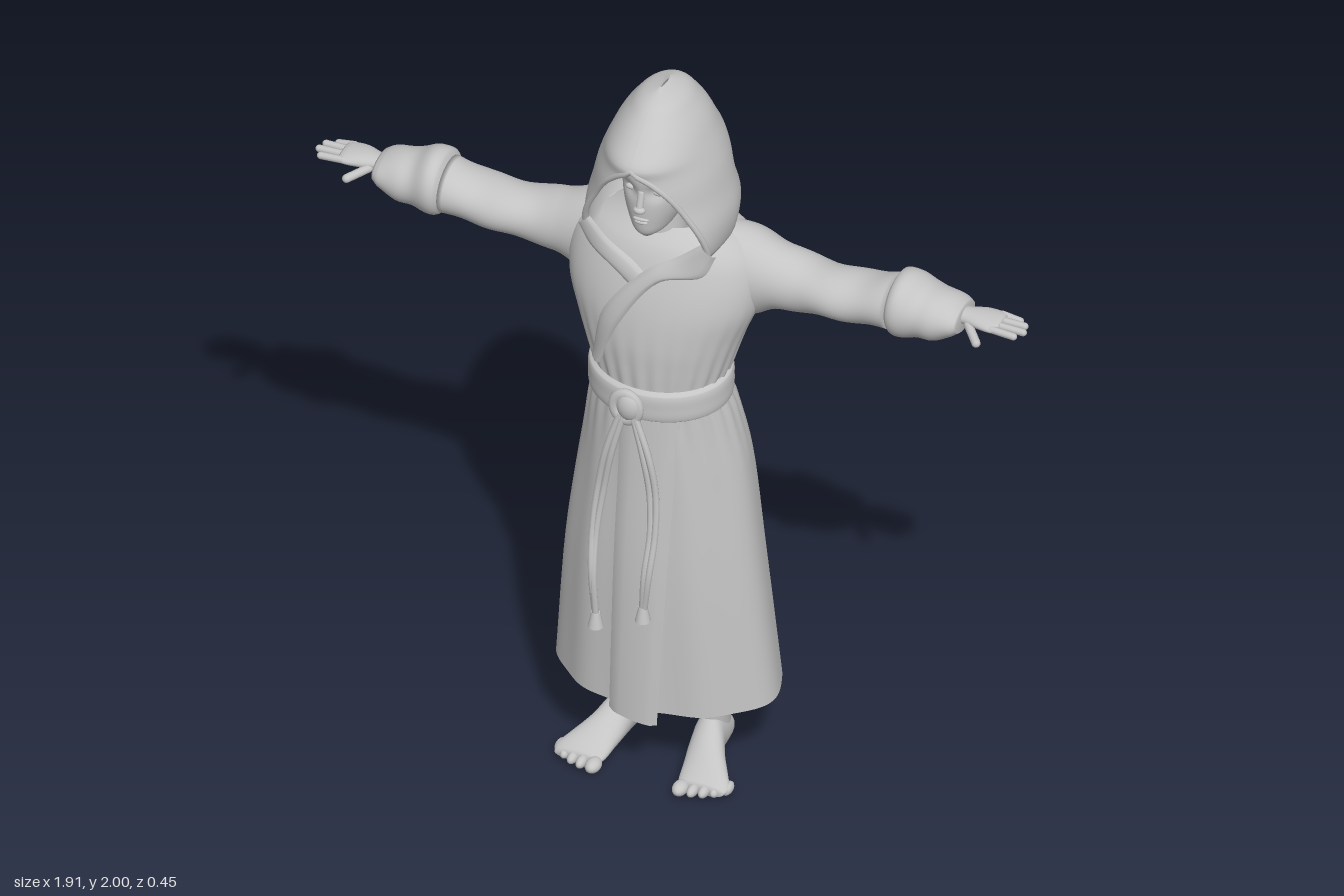
import * as THREE from 'three';

const V = (x, y, z) => new THREE.Vector3(x, y, z);
const TAU = Math.PI * 2;
const gauss = (d, w) => Math.exp(-(d * d) / (w * w));

// smooth interpolation of a table whose first column is the key
function at(rows, k) {
  let i = 0;
  while (i < rows.length - 2 && k > rows[i + 1][0]) i++;
  const p = rows[i], q = rows[i + 1], h = q[0] - p[0];
  const t = THREE.MathUtils.clamp((k - p[0]) / h, 0, 1), t2 = t * t, t3 = t2 * t;
  const slope = (j, c) => {
    const a = rows[Math.max(j - 1, 0)], b = rows[Math.min(j + 1, rows.length - 1)];
    return (b[c] - a[c]) / (b[0] - a[0]);
  };
  return p.map((_, c) => (2 * t3 - 3 * t2 + 1) * p[c] + (t3 - 2 * t2 + t) * h * slope(i, c)
    + (3 * t2 - 2 * t3) * q[c] + (t3 - t2) * h * slope(i + 1, c));
}

// surface from a grid of points; rings may be closed
function grid(rings, closed) {
  const n = rings[0].length, idx = [], m = closed ? n : n - 1;
  for (let i = 0; i < rings.length - 1; i++) for (let j = 0; j < m; j++) {
    const a = i * n + j, b = i * n + (j + 1) % n;
    idx.push(a, b, a + n, b, b + n, a + n);
  }
  const g = new THREE.BufferGeometry().setFromPoints(rings.flat());
  g.setIndex(idx);
  g.computeVertexNormals();
  return g;
}

function steps(rows, sub) {
  const ks = [rows[0][0]];
  for (let i = 1; i < rows.length; i++) for (let s = 1; s <= sub; s++)
    ks.push(THREE.MathUtils.lerp(rows[i - 1][0], rows[i][0], s / sub));
  return ks;
}

// rows [key, a0, a1, b0, b1] swept along an axis; a and b are the extents across it
const PLACE = { y: (a, b, k) => V(a, k, b), x: (a, b, k) => V(k, b, a), z: (a, b, k) => V(b, a, k) };
function loft(axis, rows, { n = 32, sub = 4, caps = true, fold = () => 1, move = p => p } = {}) {
  const rings = steps(rows, sub).map(k => {
    const [, a0, a1, b0, b1] = at(rows, k);
    return Array.from({ length: n }, (_, j) => {
      const t = j / n * TAU, f = fold(t, k);
      return move(PLACE[axis]((a0 + a1) / 2 + (a1 - a0) / 2 * f * Math.sin(t),
        (b0 + b1) / 2 + (b1 - b0) / 2 * f * Math.cos(t), k));
    });
  });
  if (caps) for (const end of [0, 1]) {
    const r = end ? rings[rings.length - 1] : rings[0];
    const c = r.reduce((s, p) => s.add(p), V(0, 0, 0)).divideScalar(n);
    const ring = r.map(() => c.clone());
    end ? rings.push(ring) : rings.unshift(ring);
  }
  return grid(rings, true);
}

const BODY = [
  [0.22, -0.28, 0.3, -0.23, 0.17], [0.6, -0.25, 0.26, -0.21, 0.17], [0.9, -0.21, 0.225, -0.19, 0.157],
  [1.06, -0.185, 0.195, -0.155, 0.152], [1.16, -0.165, 0.175, -0.12, 0.15], [1.22, -0.185, 0.19, -0.14, 0.152],
  [1.3, -0.215, 0.215, -0.165, 0.152], [1.4, -0.25, 0.25, -0.19, 0.138], [1.5, -0.245, 0.245, -0.195, 0.108],
  [1.56, -0.2, 0.2, -0.18, 0.08], [1.6, -0.11, 0.11, -0.13, 0.04]];
const frontZ = (x, y) => {
  const [, a0, a1, b0, b1] = at(BODY, y), u = (2 * x - a0 - a1) / (a1 - a0);
  return (b0 + b1) / 2 + (b1 - b0) / 2 * Math.sqrt(Math.max(0, 1 - u * u));
};

const SLEEVE = [
  [0.12, -0.16, 0.04, 1.35, 1.585], [0.22, -0.17, 0.02, 1.335, 1.57], [0.3, -0.162, 0.0, 1.37, 1.535],
  [0.4, -0.155, 0.005, 1.388, 1.518], [0.5, -0.15, 0.01, 1.4, 1.522], [0.6, -0.148, 0.012, 1.408, 1.548]];
const CUFF = [
  [0.595, -0.14, 0.005, 1.42, 1.54], [0.61, -0.153, 0.022, 1.4, 1.568], [0.64, -0.155, 0.025, 1.4, 1.57],
  [0.68, -0.15, 0.015, 1.405, 1.55], [0.72, -0.146, 0.012, 1.412, 1.54], [0.765, -0.135, 0.005, 1.435, 1.527],
  [0.785, -0.125, -0.01, 1.45, 1.515]];

// hood rows: height, half width, back z, rim z, half width of the opening
const HOOD = [
  [1.55, 0.155, -0.14, 0.07, 0.145], [1.59, 0.178, -0.165, 0.09, 0.165], [1.66, 0.186, -0.215, 0.115, 0.155],
  [1.735, 0.17, -0.188, 0.138, 0.118], [1.79, 0.157, -0.195, 0.16, 0.085], [1.83, 0.143, -0.195, 0.178, 0.045],
  [1.865, 0.128, -0.18, 0.192, 0.001], [1.91, 0.107, -0.155, 0.15, 0], [1.95, 0.08, -0.125, 0.105, 0],
  [1.98, 0.052, -0.095, 0.065, 0], [2, 0.006, -0.045, 0.01, 0]];
function hoodRing(k, n, shrink) {
  const [, rx, zb, zf, w0] = at(HOOD, k), w = Math.max(w0, 0), cz = -0.02;
  const t0 = Math.asin(Math.min(w / rx, 0.95)), rf = (zf - cz) / Math.cos(t0);
  return Array.from({ length: n }, (_, j) => {
    const t = t0 + (TAU - 2 * t0) * j / (n - 1), c = Math.cos(t), s = Math.sin(t);
    const f = shrink * (1 + 0.018 * Math.sin(k * 34 + 3 * c) * Math.max(0, -c));
    return V(rx * f * s, k - (1 - shrink) * 0.2, cz + (c > 0 ? rf : cz - zb) * f * c);
  });
}

export function createModel() {
  const mat = new THREE.MeshStandardMaterial({ color: 0xc4c4c4, side: THREE.DoubleSide });
  mat.name = 'plain grey';
  const model = new THREE.Group();
  const add = (name, geo, parent = model) => {
    const m = new THREE.Mesh(geo, mat);
    m.name = name;
    parent.add(m);
    return m;
  };
  const tube = (name, pts, r, parent) =>
    add(name, new THREE.TubeGeometry(new THREE.CatmullRomCurve3(pts), 40, r, 8), parent);
  const blob = (name, p, s, parent) => {
    const m = add(name, new THREE.SphereGeometry(1, 18, 12), parent);
    m.position.set(...p);
    m.scale.set(...s);
    return m;
  };
  const capsule = (name, a, b, r, parent) => {
    const d = b.clone().sub(a), m = add(name, new THREE.CapsuleGeometry(r, d.length(), 5, 10), parent);
    m.position.copy(a).addScaledVector(d, 0.5);
    m.quaternion.setFromUnitVectors(V(0, 1, 0), d.normalize());
    return m;
  };
  // ribbon between two edge curves with a slight forward bulge
  const ribbon = (name, a, b, bulge) => {
    const ca = new THREE.CatmullRomCurve3(a), cb = new THREE.CatmullRomCurve3(b);
    add(name, grid(Array.from({ length: 25 }, (_, i) => Array.from({ length: 9 }, (_, j) => {
      const p = ca.getPoint(i / 24).lerp(cb.getPoint(i / 24), j / 8);
      p.z += bulge * Math.pow(Math.sin(j / 8 * Math.PI), 0.4);
      return p;
    })), false));
  };

  // robe body, gathered at the waist with soft folds below
  add('robe', loft('y', BODY, {
    n: 144, sub: 6, fold: (t, y) => 1 + 0.018 * gauss(y - 1.15, 0.14) * Math.cos(26 * t)
      + (y < 1.1 ? 0.016 * Math.min(1, (1.1 - y) * 4) * Math.cos(9 * t + 1.2 * Math.sin(2 * t)) : 0)
  , caps: false }));

  // front overlap of the skirt and the chest
  const on = (x, y, o) => V(x, y, frontZ(x, y) + o);
  const ys = [0.19, 0.4, 0.65, 0.9, 1.12];
  ribbon('skirtOverlap', ys.map((y, i) => on(-0.07 + i * 0.006, y + 0.01, 0)),
    ys.map((y, i) => on(0.06 + i * 0.012, y - (i ? 0 : 0.008), 0)), 0.018);
  ribbon('leftLapel',
    [V(0.185, 1.59, 0.09), V(0.155, 1.53, 0.105), V(0.05, 1.5, 0.128), on(-0.05, 1.36, 0.004), on(-0.11, 1.21, 0.004)].reverse(),
    [V(0.15, 1.625, 0.1), V(0.09, 1.575, 0.105), V(0.01, 1.52, 0.118), on(-0.1, 1.38, 0.002), on(-0.145, 1.21, 0.002)].reverse(), 0.012);
  ribbon('rightLapel',
    [V(-0.185, 1.59, 0.09), V(-0.15, 1.535, 0.095), V(-0.07, 1.49, 0.115), V(-0.02, 1.45, 0.12)],
    [V(-0.15, 1.625, 0.1), V(-0.1, 1.57, 0.1), V(-0.03, 1.53, 0.108), V(0.02, 1.49, 0.115)], 0.01);

  // belt, knot and hanging cords
  const belt = [[1.115, -0.168, 0.178, -0.128, 0.155], [1.125, -0.178, 0.188, -0.136, 0.166],
    [1.16, -0.18, 0.19, -0.138, 0.168], [1.195, -0.178, 0.188, -0.136, 0.166], [1.205, -0.168, 0.178, -0.128, 0.155]];
  add('belt', loft('y', belt, { n: 64, caps: false, move: p => { p.y -= 0.012 + 0.08 * p.z; return p; } }));
  blob('knot', [-0.012, 1.135, 0.17], [0.034, 0.042, 0.024]);
  const wrap = add('knotLoop', new THREE.TorusGeometry(0.03, 0.013, 10, 24));
  wrap.position.set(-0.02, 1.13, 0.172);
  wrap.scale.set(1.1, 1.25, 0.9);
  const cord = (name, xs, bottom) => {
    const top = 1.11, zs = [0.175, 0.182, 0.178, 0.19, 0.212, 0.205];
    tube(name, xs.map((x, i) => V(x, top + (bottom - top) * i / 5, zs[i])), 0.009);
  };
  cord('rightCord', [-0.025, -0.055, -0.078, -0.092, -0.09, -0.087], 0.5);
  cord('rightCordFold', [-0.035, -0.07, -0.093, -0.102, -0.096, -0.09], 0.52);
  cord('leftCord', [0, 0.03, 0.046, 0.052, 0.046, 0.038], 0.55);
  cord('leftCordFold', [0.005, 0.045, 0.062, 0.065, 0.058, 0.042], 0.55);
  for (const [x, y] of [[-0.087, 0.488], [0.04, 0.542]]) {
    const t = add('tassel', new THREE.CylinderGeometry(0.011, 0.02, 0.042, 14));
    t.position.set(x, y, 0.205);
  }

  // hood: outer cloth, lining and rolled rim
  const ks = steps(HOOD, 5);
  add('hood', grid(ks.map(k => hoodRing(k, 61, 1)), false));
  add('hoodLining', grid(ks.map(k => hoodRing(k, 61, 0.95)), false));
  const rim = ks.filter(k => k <= 1.866).map(k => hoodRing(k, 3, 0.985)[0]);
  tube('hoodRim', [...rim, ...rim.slice(0, -1).reverse().map(p => V(-p.x, p.y, p.z))], 0.008);

  // head with eye hollows, nose, lips and ears
  const head = new THREE.Group();
  head.name = 'head';
  model.add(head);
  add('neck', new THREE.CylinderGeometry(0.053, 0.062, 0.16, 28), head).position.set(0, 1.615, -0.005);
  const skull = [[1.612, -0.015, 0.015, 0.07, 0.105], [1.63, -0.043, 0.043, -0.01, 0.121], [1.66, -0.062, 0.062, -0.06, 0.127],
    [1.7, -0.079, 0.079, -0.1, 0.13], [1.75, -0.09, 0.09, -0.13, 0.13], [1.8, -0.093, 0.093, -0.14, 0.132],
    [1.85, -0.08, 0.08, -0.12, 0.113], [1.885, -0.045, 0.045, -0.075, 0.065], [1.895, -0.008, 0.008, -0.02, 0.01]];
  add('face', loft('y', skull, {
    n: 56, sub: 5, move: p => {
      if (p.z > 0) p.z -= 0.014 * gauss(p.y - 1.755, 0.018) * gauss(Math.abs(p.x) - 0.036, 0.022);
      return p;
    }
  }), head);
  capsule('nose', V(0, 1.755, 0.124), V(0, 1.715, 0.136), 0.0095, head);
  blob('noseTip', [0, 1.711, 0.138], [0.016, 0.01, 0.012], head);
  blob('upperLip', [0, 1.677, 0.127], [0.022, 0.005, 0.007], head);
  blob('lowerLip', [0, 1.667, 0.126], [0.018, 0.006, 0.007], head);
  for (const s of [-1, 1]) {
    blob('ear', [s * 0.094, 1.74, 0.005], [0.012, 0.033, 0.02], head);
    blob('eye', [s * 0.036, 1.754, 0.107], [0.014, 0.008, 0.009], head);
  }

  // sleeve, cuff and hand, then mirrored
  for (const s of [1, -1]) {
    const arm = new THREE.Group();
    arm.name = s > 0 ? 'leftArm' : 'rightArm';
    arm.scale.x = s;
    model.add(arm);
    add('sleeve', loft('x', SLEEVE, {
      n: 40, sub: 8, fold: (t, x) => 1 + 0.035 * Math.min(1, (x - 0.12) * 5) * Math.sin(x * 42 + 2.2 * Math.sin(t + 0.6))
    }), arm);
    add('cuff', loft('x', CUFF, { n: 40, fold: (t, x) => 1 + 0.025 * Math.sin(x * 70 + 2 * Math.sin(t)) }), arm);
    add('palm', loft('x', [[0.75, -0.095, -0.04, 1.467, 1.511], [0.79, -0.095, -0.038, 1.47, 1.51],
      [0.83, -0.11, -0.028, 1.472, 1.51], [0.87, -0.112, -0.022, 1.476, 1.506], [0.885, -0.105, -0.03, 1.481, 1.501]], { n: 24 }), arm);
    [[-0.102, 0.915], [-0.079, 0.938], [-0.056, 0.945], [-0.033, 0.93]].forEach(([z, x], i) =>
      capsule('finger', V(0.87, 1.492, z), V(x, 1.49 - (i === 0 ? 0.008 : 0), z * 1.1 + 0.006), 0.0095, arm));
    capsule('thumb', V(0.805, 1.482, -0.04), V(0.845, 1.468, 0.004), 0.0115, arm);

    // lower leg and bare foot
    const leg = new THREE.Group();
    leg.name = s > 0 ? 'leftLeg' : 'rightLeg';
    leg.scale.x = s;
    leg.position.x = 0.01;
    model.add(leg);
    add('shin', loft('y', [[0.05, 0.088, 0.15, -0.09, 0.015], [0.1, 0.086, 0.152, -0.09, 0.012], [0.2, 0.08, 0.163, -0.1, 0.022],
      [0.32, 0.07, 0.17, -0.11, 0.03], [0.55, 0.07, 0.17, -0.09, 0.04]], { n: 28 }), leg);
    add('foot', loft('z', [[-0.106, 0.025, 0.05, 0.105, 0.125], [-0.095, 0.008, 0.075, 0.088, 0.143],
      [-0.05, 0, 0.11, 0.08, 0.153], [0, 0.002, 0.125, 0.08, 0.16], [0.05, 0.004, 0.095, 0.084, 0.182],
      [0.1, 0, 0.068, 0.092, 0.212], [0.14, 0, 0.046, 0.098, 0.233], [0.165, 0.006, 0.034, 0.106, 0.225]], { n: 28 }), leg);
    [0.117, 0.149, 0.176, 0.201, 0.224].forEach((x, i) =>
      blob('toe', [x, 0.018, 0.174 - i * i * 0.0028], [i ? 0.0135 : 0.02, i ? 0.015 : 0.018, i ? 0.026 : 0.029], leg));
  }
  return model;
}
